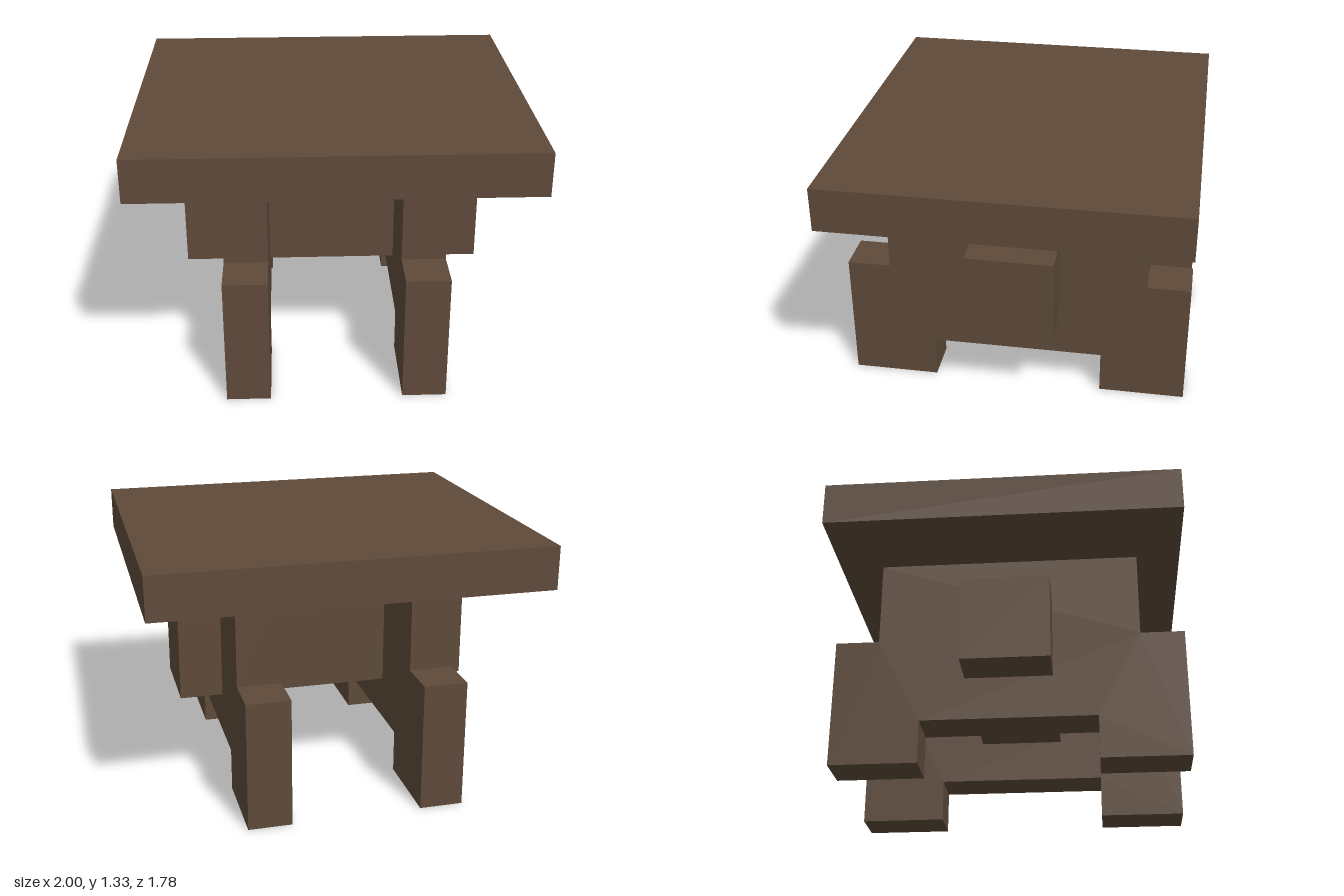
import * as THREE from 'three';

const U = 1 / 9; // block unit

export function createModel() {
  const model = new THREE.Group();
  model.name = 'table';
  const wood = new THREE.MeshStandardMaterial({ color: 0x5e4a3a });
  wood.name = 'dark brown wood';

  const add = (name, geometry, x, y, z) => {
    const mesh = new THREE.Mesh(geometry, wood);
    mesh.name = name;
    mesh.position.set(x, y, z);
    model.add(mesh);
  };

  // Table top
  add('tableTop', new THREE.BoxGeometry(18 * U, 2 * U, 16 * U), 0, 11 * U, 0);

  // Stepped leg panel: half outline mirrored across the middle, in units
  const half = [[4, 2], [4, 0], [8, 0], [8, 6], [6, 6], [6, 10]];
  const outline = [...half, ...half.map(([z, y]) => [-z, y]).reverse()];
  const panelShape = new THREE.Shape(outline.map(([z, y]) => new THREE.Vector2(z * U, y * U)));
  const panel = new THREE.ExtrudeGeometry(panelShape, { depth: 2 * U, bevelEnabled: false });
  panel.translate(0, 0, -U).rotateY(-Math.PI / 2);
  add('leftLegPanel', panel, 4 * U, 0, 0);
  add('rightLegPanel', panel, -4 * U, 0, 0);

  // Cross beam passing through both panels
  add('crossBeam', new THREE.BoxGeometry(14 * U, 4 * U, 4 * U), 0, 6 * U, 0);

  return model;
}
